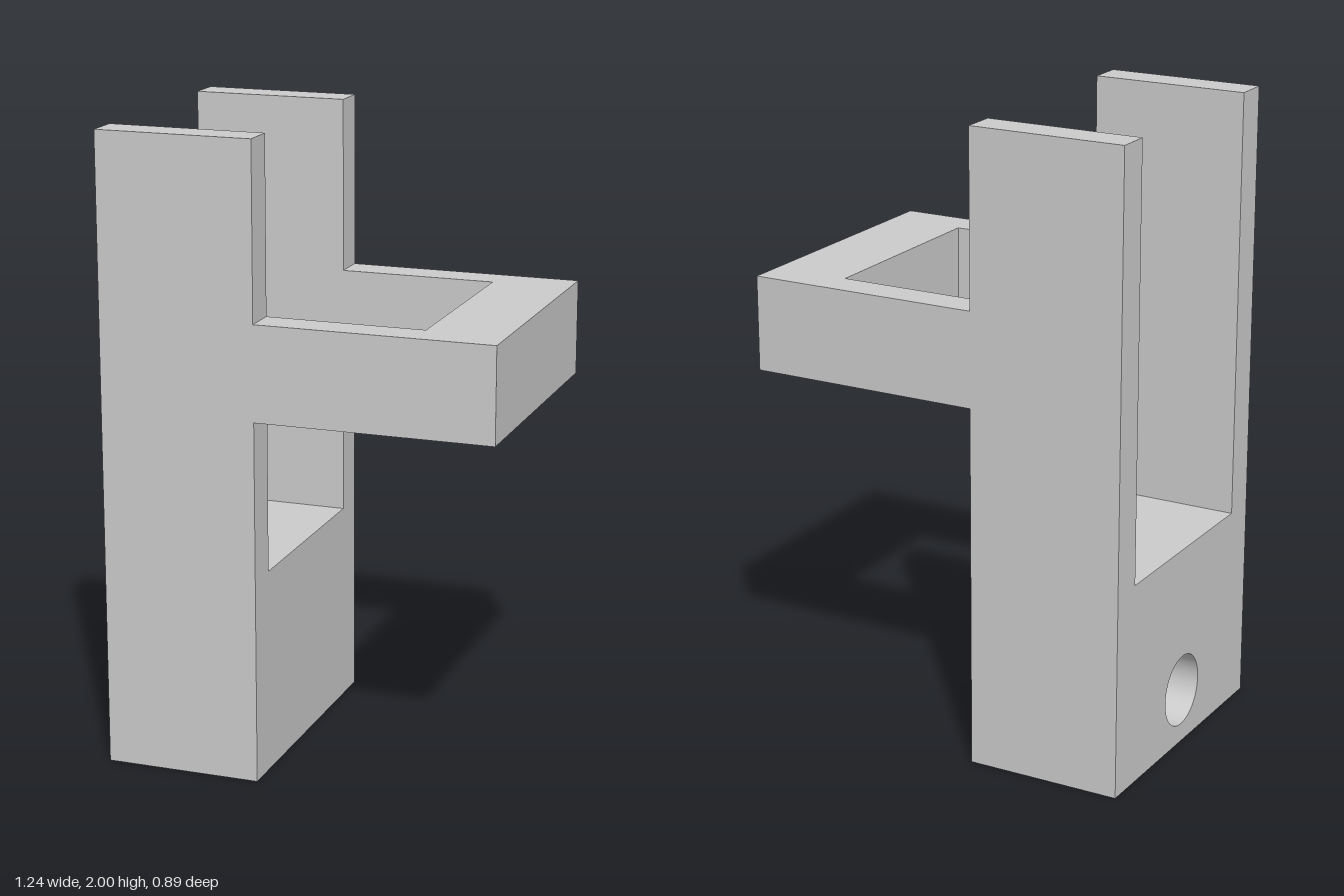
import * as THREE from 'three';

const HALF_X = 0.622, HALF_Z = 0.447, INNER_Z = 0.337;
const COLUMN_FRONT = -0.125, COLUMN_WIDTH = HALF_X + COLUMN_FRONT;
const SEGMENTS = 48;

function polygon(points) {
  return new THREE.Shape(points.map(([x, y]) => new THREE.Vector2(x, y)));
}

function extrude(shape, depth) {
  return new THREE.ExtrudeGeometry(shape, { depth, bevelEnabled: false, curveSegments: SEGMENTS });
}

export function createModel() {
  const group = new THREE.Group();
  const material = new THREE.MeshStandardMaterial({ color: 0xcccccc });
  const add = (name, geometry) => {
    const mesh = new THREE.Mesh(geometry, material);
    mesh.name = name;
    group.add(mesh);
    return mesh;
  };

  // Forked column: U profile across z, with a round bore low in the base
  const bore = { y: 0.175, radius: 0.115, depth: 0.13 };
  const fork = polygon([
    [-HALF_Z, 0], [HALF_Z, 0], [HALF_Z, 2], [INNER_Z, 2],
    [INNER_Z, 0.65], [-INNER_Z, 0.65], [-INNER_Z, 2], [-HALF_Z, 2],
  ]);
  fork.holes.push(new THREE.Path().absarc(0, bore.y, bore.radius, 0, Math.PI * 2, true));
  const column = add('forkedColumn', extrude(fork, COLUMN_WIDTH));
  column.rotation.y = -Math.PI / 2;
  column.position.x = COLUMN_FRONT;

  // Solid core that closes the bore beyond its depth
  const coreLength = COLUMN_WIDTH - bore.depth;
  const core = add('boreFloor', new THREE.CylinderGeometry(bore.radius, bore.radius, coreLength, SEGMENTS * 2));
  core.rotation.z = Math.PI / 2;
  core.position.set(COLUMN_FRONT - coreLength / 2, bore.y, 0);

  // Horizontal loop joining the two uprights
  const loop = polygon([
    [COLUMN_FRONT, -HALF_Z], [HALF_X, -HALF_Z], [HALF_X, HALF_Z], [COLUMN_FRONT, HALF_Z],
    [COLUMN_FRONT, INNER_Z], [0.374, INNER_Z], [0.374, -INNER_Z], [COLUMN_FRONT, -INNER_Z],
  ]);
  const bracket = add('sideBracket', extrude(loop, 0.3));
  bracket.rotation.x = -Math.PI / 2;
  bracket.position.y = 1.15;

  return group;
}
